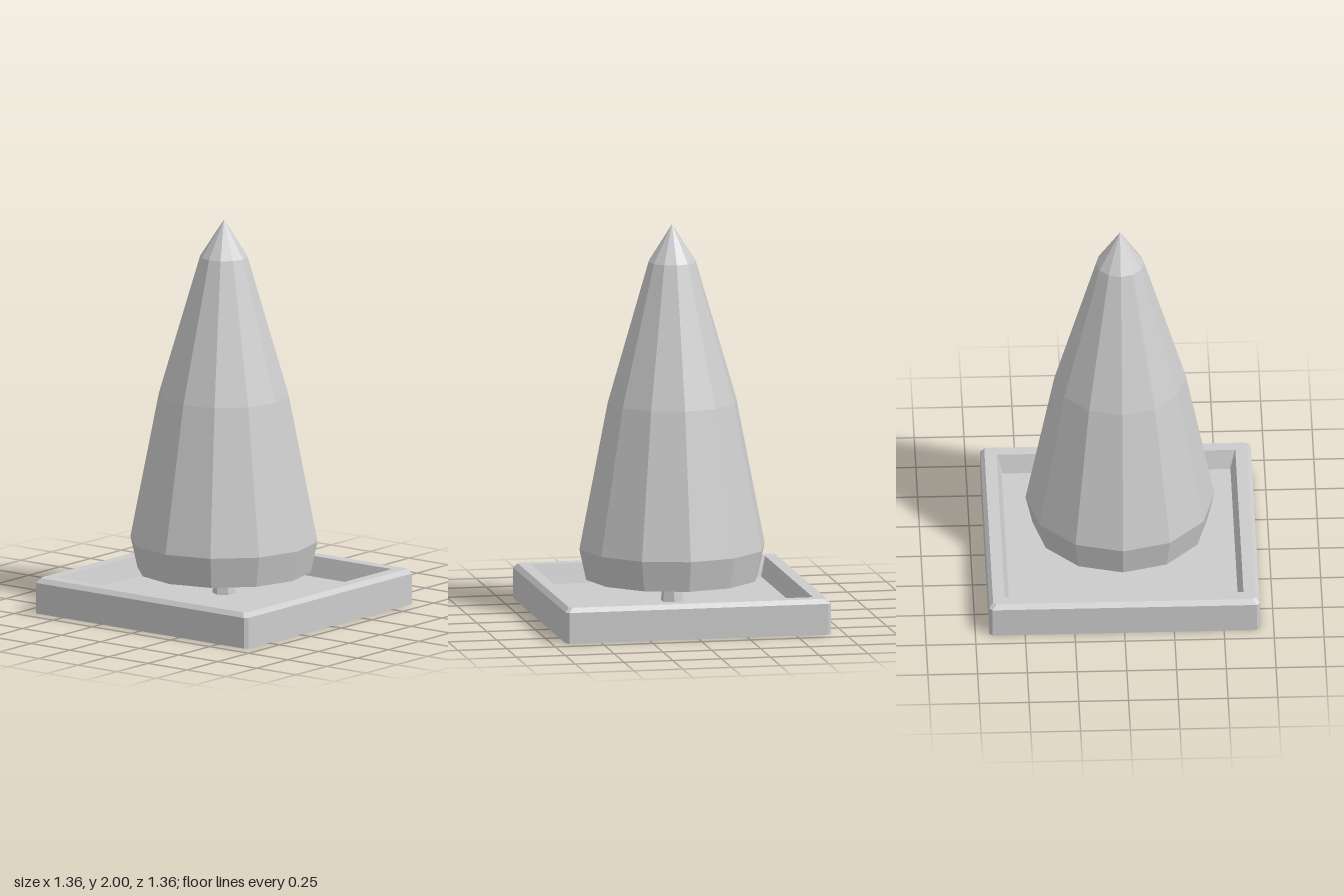
import * as THREE from 'three';

const stone = new THREE.MeshStandardMaterial({ color: 0xcccccc, flatShading: true });
stone.name = 'pale grey';

function addPart(group, name, geometry) {
  const flat = geometry.index ? geometry.toNonIndexed() : geometry;
  flat.computeVertexNormals();
  const mesh = new THREE.Mesh(flat, stone);
  mesh.name = name;
  group.add(mesh);
  return mesh;
}

// Square outline of half width h with corners cut by c, in order from +z round to +x
function squareRing(y, h, c) {
  const ring = [];
  for (const [sx, sz] of [[1, 1], [1, -1], [-1, -1], [-1, 1]]) {
    const a = [sx * (h - c), y, sz * h];
    const b = [sx * h, y, sz * (h - c)];
    ring.push(...(sx * sz > 0 ? [a, b] : [b, a]));
  }
  return ring;
}

// Joins rings of equal length with quads and closes both ends
function loft(rings) {
  const n = rings[0].length;
  const index = [];
  for (let r = 0; r < rings.length - 1; r++) {
    for (let i = 0; i < n; i++) {
      const a = r * n + i, b = r * n + (i + 1) % n;
      index.push(a, b, b + n, a, b + n, a + n);
    }
  }
  const last = (rings.length - 1) * n;
  for (let i = 1; i < n - 1; i++) {
    index.push(0, i + 1, i);
    index.push(last, last + i, last + i + 1);
  }
  const geometry = new THREE.BufferGeometry();
  geometry.setAttribute('position', new THREE.Float32BufferAttribute(rings.flat(2), 3));
  geometry.setIndex(index);
  return geometry;
}

export function createModel() {
  const model = new THREE.Group();
  model.name = 'pottedTree';

  // Square tray: outer wall, bevelled rim, sloping inner wall and floor
  addPart(model, 'planter', loft([
    squareRing(0, 0.68, 0.016),
    squareRing(0.157, 0.68, 0.016),
    squareRing(0.18, 0.66, 0.016),
    squareRing(0.18, 0.6, 0.003),
    squareRing(0.08, 0.575, 0.003),
  ]));

  // Short trunk
  const trunk = addPart(model, 'trunk', new THREE.CylinderGeometry(0.045, 0.06, 0.14, 6));
  trunk.position.y = 0.14;

  // Twelve-sided cone of foliage
  const profile = [[0, 0.2], [0.44, 0.2], [0.475, 0.357], [0.33, 1.1], [0.121, 1.81], [0, 2]];
  addPart(model, 'foliage', new THREE.LatheGeometry(profile.map(([r, y]) => new THREE.Vector2(r, y)), 12));

  return model;
}
